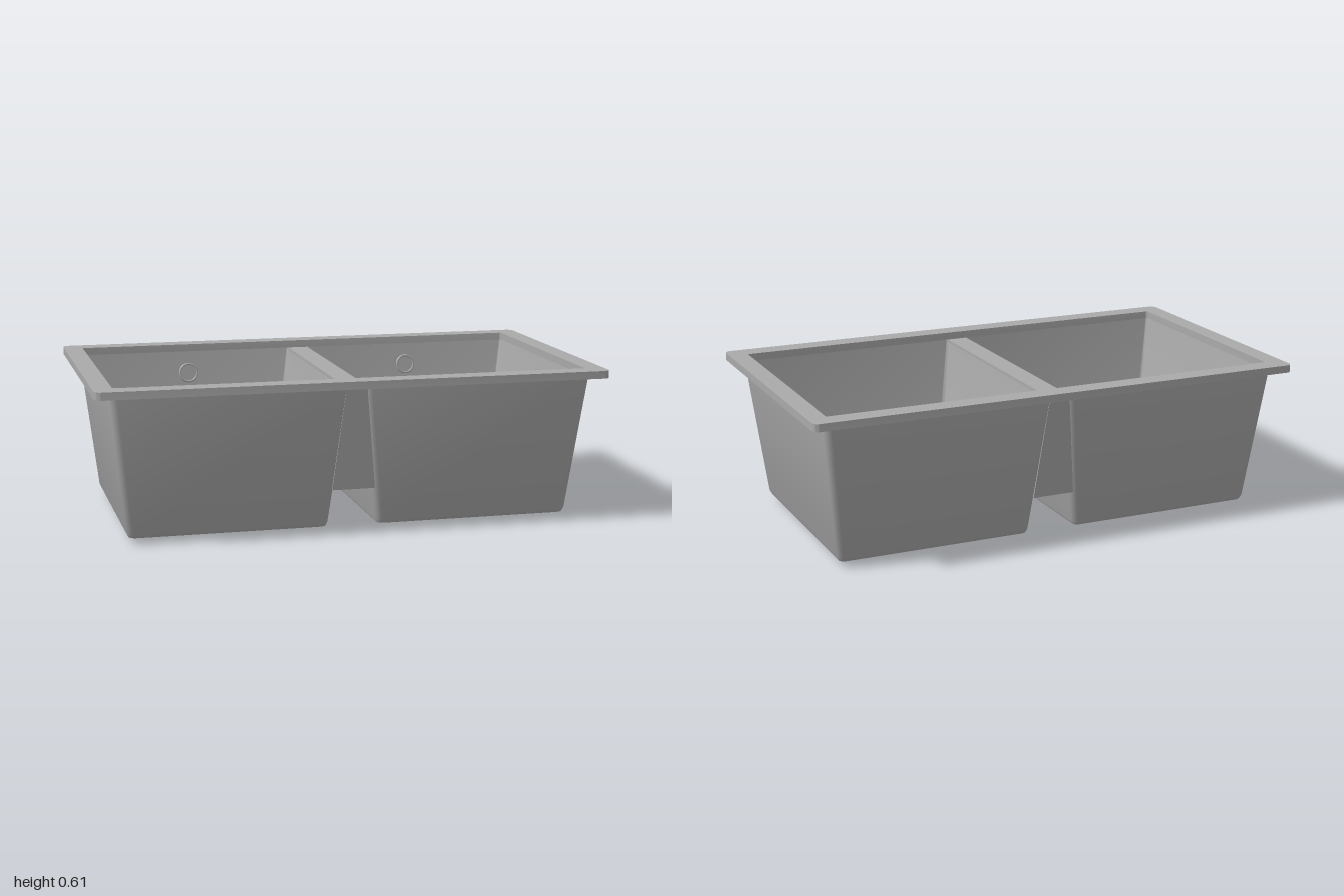
import * as THREE from 'three';
import { toCreasedNormals } from 'three/addons/utils/BufferGeometryUtils.js';

const DRAIN = { x: 0.48, z: -0.18 };
const RIM_Y = 0.58, FLOOR_Y = 0.04, BASE_Y = 0.02;

// Rounded rectangle in plan, as points running from +x towards +z
function roundedRect(x0, x1, z0, z1, r, steps = 5) {
  const pts = [];
  const corners = [[x1 - r, z1 - r], [x0 + r, z1 - r], [x0 + r, z0 + r], [x1 - r, z0 + r]];
  corners.forEach(([cx, cz], k) => {
    for (let i = 0; i <= steps; i++) {
      const a = (k + i / steps) * Math.PI / 2;
      pts.push(new THREE.Vector2(cx + r * Math.cos(a), cz + r * Math.sin(a)));
    }
  });
  return pts;
}

// Skin through sections { y, x0, x1, z, r }: rising order faces out, falling order faces in
function loft(sections, side) {
  const pos = [], index = [];
  for (const s of sections) {
    const [a, b] = side > 0 ? [s.x0, s.x1] : [-s.x1, -s.x0];
    for (const p of roundedRect(a, b, -s.z, s.z, s.r)) pos.push(p.x, s.y, p.y);
  }
  const n = pos.length / 3 / sections.length;
  for (let k = 0; k < sections.length - 1; k++) {
    for (let i = 0; i < n; i++) {
      const j = (i + 1) % n, a = k * n, b = a + n;
      index.push(a + i, b + i, a + j, a + j, b + i, b + j);
    }
  }
  const geo = new THREE.BufferGeometry();
  geo.setAttribute('position', new THREE.Float32BufferAttribute(pos, 3));
  geo.setIndex(index);
  return toCreasedNormals(geo, 0.7);
}

// Flat panel with a round drain hole, facing up (1) or down (-1)
function panel(s, side, holeRadius, facing) {
  const [a, b] = side > 0 ? [s.x0, s.x1] : [-s.x1, -s.x0];
  const shape = new THREE.Shape(roundedRect(a, b, -s.z, s.z, s.r));
  const hole = new THREE.Path();
  hole.absarc(side * DRAIN.x, -facing * DRAIN.z, holeRadius, 0, Math.PI * 2, true);
  shape.holes.push(hole);
  return new THREE.ShapeGeometry(shape, 24).rotateX(-facing * Math.PI / 2).translate(0, s.y, 0);
}

export function createModel() {
  const model = new THREE.Group();
  model.name = 'doubleSink';
  const grey = new THREE.MeshStandardMaterial({ color: 0xaaaaaa });
  grey.name = 'stone grey';

  const add = (name, geo, parent = model) => {
    const mesh = new THREE.Mesh(geo, grey);
    mesh.name = name;
    parent.add(mesh);
    return mesh;
  };

  // Flat rim around the opening
  const rimShape = new THREE.Shape(roundedRect(-1, 1, -0.57, 0.57, 0.025));
  rimShape.holes.push(new THREE.Path(roundedRect(-0.925, 0.925, -0.49, 0.49, 0.01).reverse()));
  const rimGeo = new THREE.ExtrudeGeometry(rimShape, { depth: 0.03, bevelEnabled: false });
  add('rim', toCreasedNormals(rimGeo.rotateX(-Math.PI / 2).translate(0, RIM_Y, 0), 0.7));

  // Sections of one tapered bowl
  const outer = [
    { y: BASE_Y, x0: 0.115, x1: 0.855, z: 0.425, r: 0.015 },
    { y: 0.024, x0: 0.102, x1: 0.868, z: 0.438, r: 0.022 },
    { y: 0.04, x0: 0.095, x1: 0.877, z: 0.447, r: 0.028 },
    { y: RIM_Y, x0: 0.03, x1: 0.94, z: 0.512, r: 0.028 },
  ];
  const inner = [
    { y: RIM_Y, x0: 0.04, x1: 0.925, z: 0.49, r: 0.01 },
    { y: 0.06, x0: 0.104, x1: 0.857, z: 0.426, r: 0.022 },
    { y: 0.045, x0: 0.108, x1: 0.853, z: 0.422, r: 0.022 },
    { y: FLOOR_Y, x0: 0.114, x1: 0.847, z: 0.416, r: 0.018 },
  ];

  // Drain collar: stepped seat, open bore and ring underneath
  const collar = [
    [0.145, FLOOR_Y], [0.136, 0.032], [0.115, 0.03], [0.115, 0],
    [0.178, 0], [0.184, 0.006], [0.184, BASE_Y + 0.002],
  ].map(([r, y]) => new THREE.Vector2(r, y));

  for (const side of [1, -1]) {
    const bowl = new THREE.Group();
    bowl.name = side > 0 ? 'leftBowl' : 'rightBowl';
    model.add(bowl);
    add('outerWalls', loft(outer, side), bowl);
    add('innerWalls', loft(inner, side), bowl);
    add('underside', panel(outer[0], side, 0.18, -1), bowl);
    add('floor', panel(inner[3], side, 0.145, 1), bowl);
    const drain = add('drainCollar', toCreasedNormals(new THREE.LatheGeometry(collar, 24), 0.5), bowl);
    drain.position.set(side * DRAIN.x, 0, DRAIN.z);

    // Overflow ring on the sloping back wall
    const overflow = new THREE.Group();
    overflow.name = 'overflow';
    overflow.position.set(side * DRAIN.x, 0.49, -0.479);
    overflow.rotation.x = -0.123;
    bowl.add(overflow);
    add('overflowRing', new THREE.TorusGeometry(0.037, 0.005, 8, 24), overflow);
    add('overflowCover', new THREE.CircleGeometry(0.036, 24).translate(0, 0, 0.002), overflow);
  }

  // Divider top between the bowls, a little below the rim
  add('divider', new THREE.BoxGeometry(0.084, 0.012, 0.99).translate(0, RIM_Y - 0.006, 0));

  // Thin webs closing the gap between the bowls, leaning with the walls
  for (const end of [1, -1]) {
    const web = new THREE.Shape([
      new THREE.Vector2(-0.085, 0.17), new THREE.Vector2(0.085, 0.17),
      new THREE.Vector2(0.04, RIM_Y), new THREE.Vector2(-0.04, RIM_Y),
    ]);
    const geo = new THREE.ExtrudeGeometry(web, { depth: 0.02, bevelEnabled: false });
    const p = geo.attributes.position;
    for (let i = 0; i < p.count; i++) {
      const face = 0.458 + (p.getY(i) - 0.17) * 0.12;
      p.setZ(i, end * face + p.getZ(i) - (end > 0 ? 0.02 : 0));
    }
    geo.computeVertexNormals();
    add(end > 0 ? 'frontWeb' : 'backWeb', geo);
  }

  return model;
}
